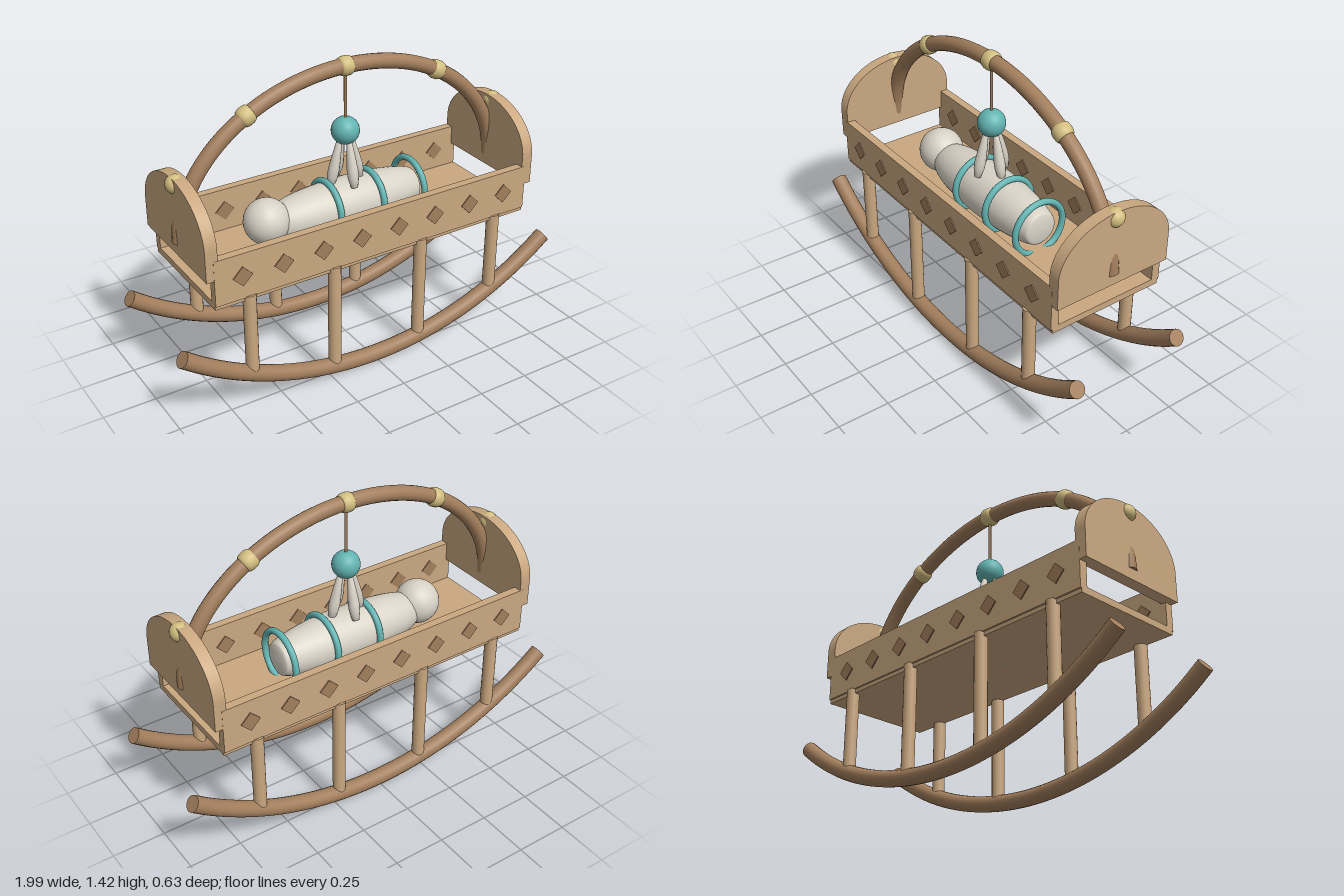
import * as THREE from 'three';

const mat = (name, color) => {
  const m = new THREE.MeshStandardMaterial({ color });
  m.name = name;
  return m;
};

export function createModel() {
  const root = new THREE.Group();
  root.name = 'cradle';
  const wood = mat('light wood', 0xcaa880);
  const branch = mat('brown wood', 0xa27e5c);
  const brass = mat('pale gold', 0xd2be80);
  const teal = mat('teal', 0x62b4b2);
  const linen = mat('off white linen', 0xd8d2c6);

  const add = (name, geo, material, x = 0, y = 0, z = 0, parent = root) => {
    const m = new THREE.Mesh(geo, material);
    m.name = name;
    m.position.set(x, y, z);
    parent.add(m);
    return m;
  };
  const v2 = (pts) => pts.map(([x, y]) => new THREE.Vector2(x, y));

  // Round rod along a curve, with flat caps
  const rod = (name, curve, r, material, z = 0) => {
    const g = new THREE.Group();
    g.name = name;
    g.position.z = z;
    add(name + 'Tube', new THREE.TubeGeometry(curve, 64, r, 16), material, 0, 0, 0, g);
    [0, 1].forEach((t) => {
      const p = curve.getPointAt(t);
      const dir = curve.getTangentAt(t).multiplyScalar(t ? 1 : -1);
      const cap = add(name + 'Cap', new THREE.CircleGeometry(r, 16), material, p.x, p.y, p.z, g);
      cap.quaternion.setFromUnitVectors(new THREE.Vector3(0, 0, 1), dir);
    });
    root.add(g);
  };
  const pathFrom = (fn, n = 24) => new THREE.CatmullRomCurve3(
    Array.from({ length: n + 1 }, (_, i) => fn(i / n)));

  // Rockers and legs
  const R = 1.59;
  const rockerY = (x) => 0.041 + R - Math.sqrt(R * R - x * x);
  const rockerCurve = pathFrom((t) => {
    const x = (t * 2 - 1) * 0.975;
    return new THREE.Vector3(x, rockerY(x), 0);
  });
  [-1, 1].forEach((s) => {
    rod('rocker', rockerCurve, 0.038, branch, s * 0.275);
    [-0.65, -0.23, 0.23, 0.65].forEach((x) => {
      const y0 = rockerY(x);
      add('leg', new THREE.CylinderGeometry(0.03, 0.03, 0.59 - y0, 16), wood, x, (0.59 + y0) / 2, s * 0.275);
    });
  });

  // Bed floor and long sides with diamond inlays on both faces
  add('floor', new THREE.BoxGeometry(1.63, 0.032, 0.57), wood, 0, 0.582, 0);
  [-1, 1].forEach((s) => {
    add('sidePanel', new THREE.BoxGeometry(1.63, 0.217, 0.04), wood, 0, 0.6935, s * 0.273);
    for (let i = 0; i < 8; i++) {
      const d = add('diamond', new THREE.BoxGeometry(0.066, 0.066, 0.05), branch, (i - 3.5) * 0.196, 0.695, s * 0.273);
      d.rotation.z = Math.PI / 4;
    }
  });

  // Arched end boards with round knobs
  const board = new THREE.Shape();
  board.moveTo(-0.292, 0.71);
  board.lineTo(0.292, 0.71);
  board.lineTo(0.292, 0.85);
  board.absellipse(0, 0.85, 0.292, 0.22, 0, Math.PI, false);
  board.lineTo(-0.292, 0.71);
  const boardGeo = new THREE.ExtrudeGeometry(board, { depth: 0.056, bevelEnabled: false, curveSegments: 32 });
  boardGeo.translate(0, 0, -0.028).rotateY(Math.PI / 2);
  [-1, 1].forEach((s) => {
    add('endBoard', boardGeo, wood, s * 0.822, 0, 0);
    add('knob', new THREE.SphereGeometry(0.043, 24, 16), brass, s * 0.83, 1.035, 0);
  });

  // Overhead bow with barrel-shaped collars
  const bowAt = (a) => new THREE.Vector3(0.827 * Math.cos(a), 0.76 + 0.62 * Math.sin(a), 0);
  rod('bow', pathFrom((t) => bowAt(Math.PI * (1 - t)), 32), 0.035, branch);
  const collarGeo = new THREE.LatheGeometry(v2([[0.034, -0.03], [0.04, -0.026], [0.044, -0.014],
    [0.045, 0], [0.044, 0.014], [0.04, 0.026], [0.034, 0.03]]), 24);
  [-0.49, 0, 0.49].forEach((x) => {
    const a = Math.acos(x / 0.827);
    const p = bowAt(a);
    const c = add('collar', collarGeo, brass, p.x, p.y, 0);
    c.rotation.z = Math.atan2(0.62 * Math.cos(a), -0.827 * Math.sin(a)) - Math.PI / 2;
  });

  // Hanging mobile: cord, ball and four splayed tassels
  add('cord', new THREE.CylinderGeometry(0.007, 0.007, 0.27, 8), branch, 0, 1.235, 0);
  add('mobileBall', new THREE.SphereGeometry(0.065, 32, 20), teal, 0, 1.075, 0);
  const tasselGeo = new THREE.LatheGeometry(v2([[0, -0.22], [0.016, -0.218], [0.025, -0.175],
    [0.026, -0.14], [0.021, -0.08], [0.012, 0], [0, 0.01]]), 12);
  for (let i = 0; i < 4; i++) {
    const pivot = new THREE.Group();
    pivot.name = 'tassel';
    pivot.position.y = 1.035;
    pivot.rotation.y = i * Math.PI / 2;
    add('tasselDrop', tasselGeo, linen, 0.03, 0, 0, pivot).rotation.z = 0.22;
    root.add(pivot);
  }

  // Swaddled bundle with round head and three hoops
  const bodyProfile = new THREE.SplineCurve(v2([[0, -0.38], [0.06, -0.37], [0.09, -0.33], [0.113, -0.22],
    [0.125, -0.03], [0.121, 0.13], [0.106, 0.26], [0.085, 0.35], [0.065, 0.372], [0, 0.38]])).getPoints(40);
  bodyProfile.forEach((p) => { p.x = Math.max(0, p.x); });
  add('bundle', new THREE.LatheGeometry(bodyProfile, 32).rotateZ(-Math.PI / 2), linen, 0, 0.71, 0);
  add('head', new THREE.SphereGeometry(0.106, 32, 20), linen, -0.41, 0.735, 0);
  [-0.1, 0.13, 0.355].forEach((x) => {
    add('hoop', new THREE.TorusGeometry(0.13, 0.015, 12, 40).rotateY(Math.PI / 2), teal, x, 0.71, 0);
  });

  return root;
}
